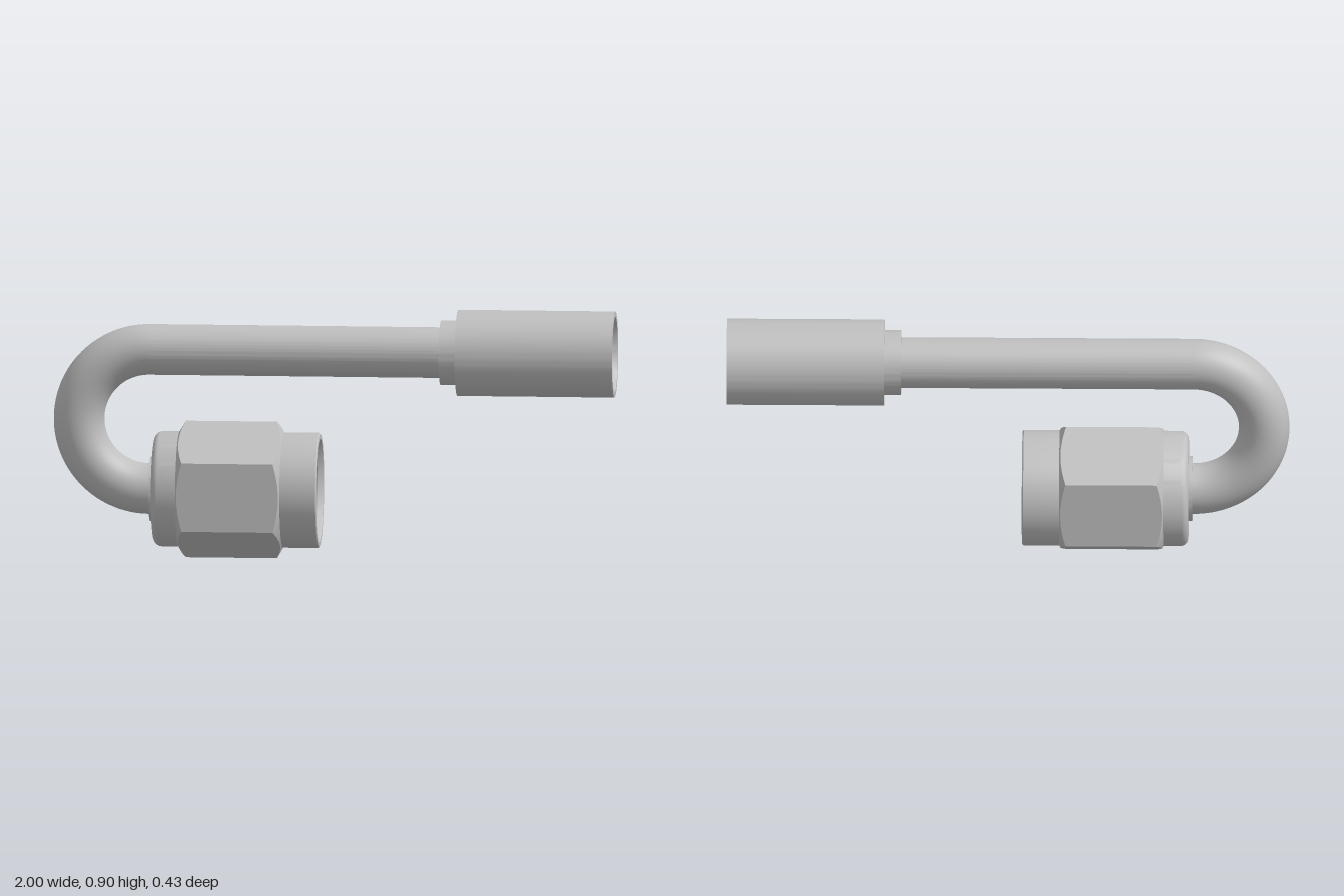
import * as THREE from 'three';
import { toCreasedNormals } from 'three/addons/utils/BufferGeometryUtils.js';

const steel = new THREE.MeshStandardMaterial({ color: 0xbfbfbf, side: THREE.DoubleSide });
steel.name = 'steel';

const TOP = 0.75, LOW = 0.25, BEND_X = -0.66, BEND_R = 0.25;
const TUBE_R = 0.09, BORE_R = 0.048;

// Body of revolution about the x axis, from [x, radius] pairs
function turned(name, y, profile, adjust) {
  const pts = profile.map(([x, r]) => new THREE.Vector2(r, x));
  const raw = new THREE.LatheGeometry(pts, 96);
  if (adjust) adjust(raw.attributes.position);
  const mesh = new THREE.Mesh(toCreasedNormals(raw, 0.45), steel);
  mesh.name = name;
  mesh.rotation.z = -Math.PI / 2;
  mesh.position.y = y;
  return mesh;
}

// Half-circle bend opening toward +x
function bend(name, radius) {
  const mesh = new THREE.Mesh(new THREE.TorusGeometry(BEND_R, radius, 40, 64, Math.PI), steel);
  mesh.name = name;
  mesh.rotation.z = Math.PI / 2;
  mesh.position.set(BEND_X, (TOP + LOW) / 2, 0);
  return mesh;
}

// Hexagon with conically chamfered ends, made from a five-point turned band
function hexBand() {
  const flat = 0.2125, x0 = -0.553, x1 = -0.182, step = Math.PI / 3;
  const profile = [[x0, 0.19], [x0, 0.205], [x0, flat], [x1, flat], [x1, 0.205], [x1, 0.19]];
  return turned('nutHexagon', LOW, profile, (p) => {
    for (let i = 0; i < p.count; i++) {
      const r = Math.hypot(p.getX(i), p.getZ(i));
      if (r < flat - 0.001) continue;
      const a = Math.atan2(p.getX(i), p.getZ(i));
      const hexR = flat / Math.cos(a - Math.round(a / step) * step);
      const inset = 0.58 * (hexR - 0.205);
      const x = p.getY(i);
      p.setXYZ(i, hexR * Math.sin(a), x < -0.4 ? x + inset : x - inset, hexR * Math.cos(a));
    }
  });
}

export function createModel() {
  const group = new THREE.Group();
  group.name = 'bentHoseFitting';

  // Bent tube with its through bore
  group.add(
    bend('tubeBend', TUBE_R),
    bend('tubeBendBore', BORE_R),
    turned('upperTube', TOP, [[BEND_X, TUBE_R], [0.45, TUBE_R]]),
    turned('upperTubeBore', TOP, [[0.97, BORE_R], [BEND_X, BORE_R]]),
    turned('lowerTube', LOW, [[BEND_X, TUBE_R], [-0.6, TUBE_R]]),
    turned('lowerTubeBore', LOW, [[-0.5, BORE_R], [BEND_X, BORE_R]]),
  );

  // Crimp sleeve: stepped collar, outer shell and slightly tapered socket
  group.add(turned('crimpSleeve', TOP, [
    [0.38, 0.088], [0.38, 0.115], [0.44, 0.115], [0.44, 0.153], [1, 0.153],
    [1, 0.133], [0.97, 0.117], [0.6, 0.115], [0.6, 0.05],
  ]));

  // Hose nipple inside the sleeve
  group.add(turned('hoseNipple', TOP, [
    [0.6, 0.075], [0.94, 0.075], [0.97, 0.06], [0.97, BORE_R],
  ]));

  // Swivel nut: rounded back shoulder, plain front rim and bore
  const nutProfile = [[-0.642, 0.13], [-0.642, 0.175]];
  for (let i = 1; i <= 6; i++) {
    const a = (i / 6) * Math.PI / 2;
    nutProfile.push([-0.612 - 0.03 * Math.cos(a), 0.175 + 0.03 * Math.sin(a)]);
  }
  nutProfile.push(
    [-0.055, 0.205], [-0.05, 0.2], [-0.05, 0.183], [-0.07, 0.165],
    [-0.48, 0.163], [-0.5, 0.13], [-0.642, 0.13],
  );
  group.add(turned('swivelNut', LOW, nutProfile), hexBand());

  // Sealing ferrule with conical seat, carried on the tube end
  group.add(turned('sealingFerrule', LOW, [
    [-0.656, 0.088], [-0.656, 0.115], [-0.51, 0.115], [-0.48, 0.155], [-0.4, 0.155],
    [-0.4, 0.122], [-0.46, 0.08], [-0.5, BORE_R],
  ]));

  return group;
}
